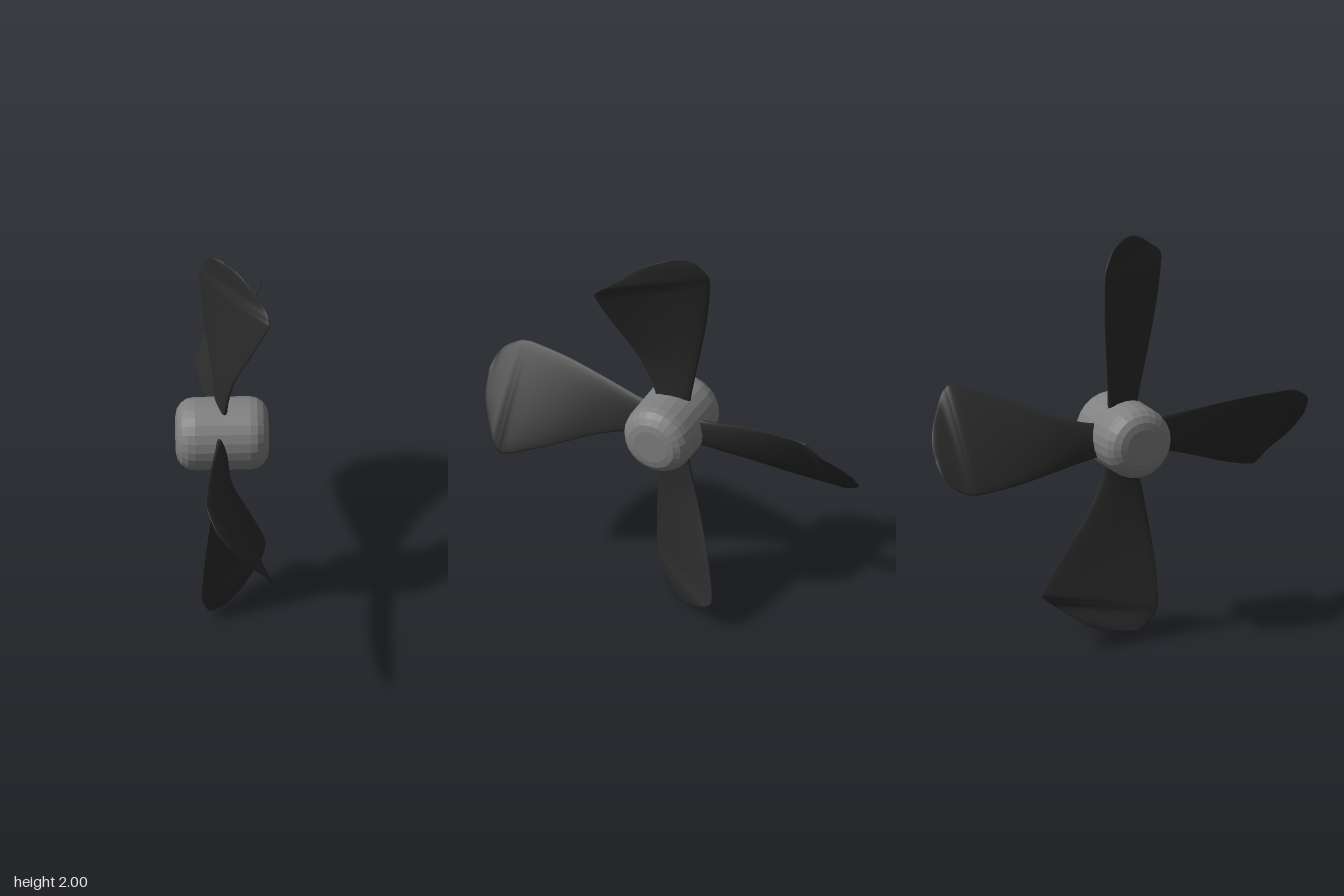
import * as THREE from 'three';
import { ParametricGeometry } from 'three/addons/geometries/ParametricGeometry.js';

// Blade stations from root to tip: radius, trailing edge (x, z), leading edge (x, z), half thickness
const STATIONS = [
  [0.05, -0.015, -0.075, 0.0, 0.085, 0.028],
  [0.19, -0.027, -0.085, 0.01, 0.096, 0.024],
  [0.40, -0.06, -0.11, 0.05, 0.166, 0.02],
  [0.61, -0.09, -0.135, 0.13, 0.255, 0.018],
  [0.80, -0.108, -0.145, 0.205, 0.32, 0.016],
  [0.85, -0.108, -0.143, 0.215, 0.306, 0.015],
  [0.89, -0.1, -0.135, 0.195, 0.255, 0.013],
  [0.955, -0.075, -0.095, 0.125, 0.166, 0.01],
  [0.987, -0.05, -0.055, 0.075, 0.1, 0.006],
  [1.0, 0.0, 0.0, 0.025, 0.04, 0.002],
];

function createBladeGeometry() {
  const curve = (pick) => new THREE.CatmullRomCurve3(
    STATIONS.map((s) => new THREE.Vector3(...pick(s))), false, 'catmullrom');
  const trailing = curve((s) => [s[1], s[0], s[2]]);
  const leading = curve((s) => [s[3], s[0], s[4]]);
  const thickness = curve((s) => [s[5], 0, 0]);
  const a = new THREE.Vector3();
  const b = new THREE.Vector3();
  const t = new THREE.Vector3();
  // Elliptical section spanning the two edges, swept from root to tip
  return new ParametricGeometry((u, v, target) => {
    trailing.getPoint(v, a);
    leading.getPoint(v, b);
    thickness.getPoint(v, t);
    const angle = u * Math.PI * 2;
    const chord = b.clone().sub(a);
    const normal = new THREE.Vector3(chord.z, 0, -chord.x).normalize();
    target.addVectors(a, b).multiplyScalar(0.5)
      .addScaledVector(chord, Math.cos(angle) / 2)
      .addScaledVector(normal, Math.sin(angle) * t.x);
  }, 28, 54);
}

function createHubGeometry() {
  // Half profile of a barrel with rounded ends
  const radius = 0.178, half = 0.225, bevel = 0.09, steps = 4;
  const profile = [new THREE.Vector2(0, -half)];
  for (const end of [-1, 1]) {
    for (let i = 0; i <= steps; i++) {
      const k = (end < 0 ? i : steps - i) / steps * Math.PI / 2;
      profile.push(new THREE.Vector2(
        radius - bevel + Math.sin(k) * bevel,
        end * (half - bevel + Math.cos(k) * bevel)));
    }
  }
  profile.push(new THREE.Vector2(0, half));
  return new THREE.LatheGeometry(profile, 24).rotateZ(-Math.PI / 2);
}

export function createModel() {
  const model = new THREE.Group();
  model.name = 'propeller';

  // Faceted hub along the x axis
  const hub = new THREE.Mesh(createHubGeometry(),
    new THREE.MeshStandardMaterial({ color: 0x808080, flatShading: true }));
  hub.name = 'hub';
  hub.position.set(-0.004, 1.01, 0.01);
  model.add(hub);

  // Four twisted blades around the hub
  const bladeGeometry = createBladeGeometry();
  const bladeMaterial = new THREE.MeshStandardMaterial({ color: 0x2b2b2b });
  for (let i = 0; i < 4; i++) {
    const blade = new THREE.Mesh(bladeGeometry, bladeMaterial);
    blade.name = `blade${i + 1}`;
    blade.position.y = 1;
    blade.rotation.x = i * Math.PI / 2;
    model.add(blade);
  }
  return model;
}
